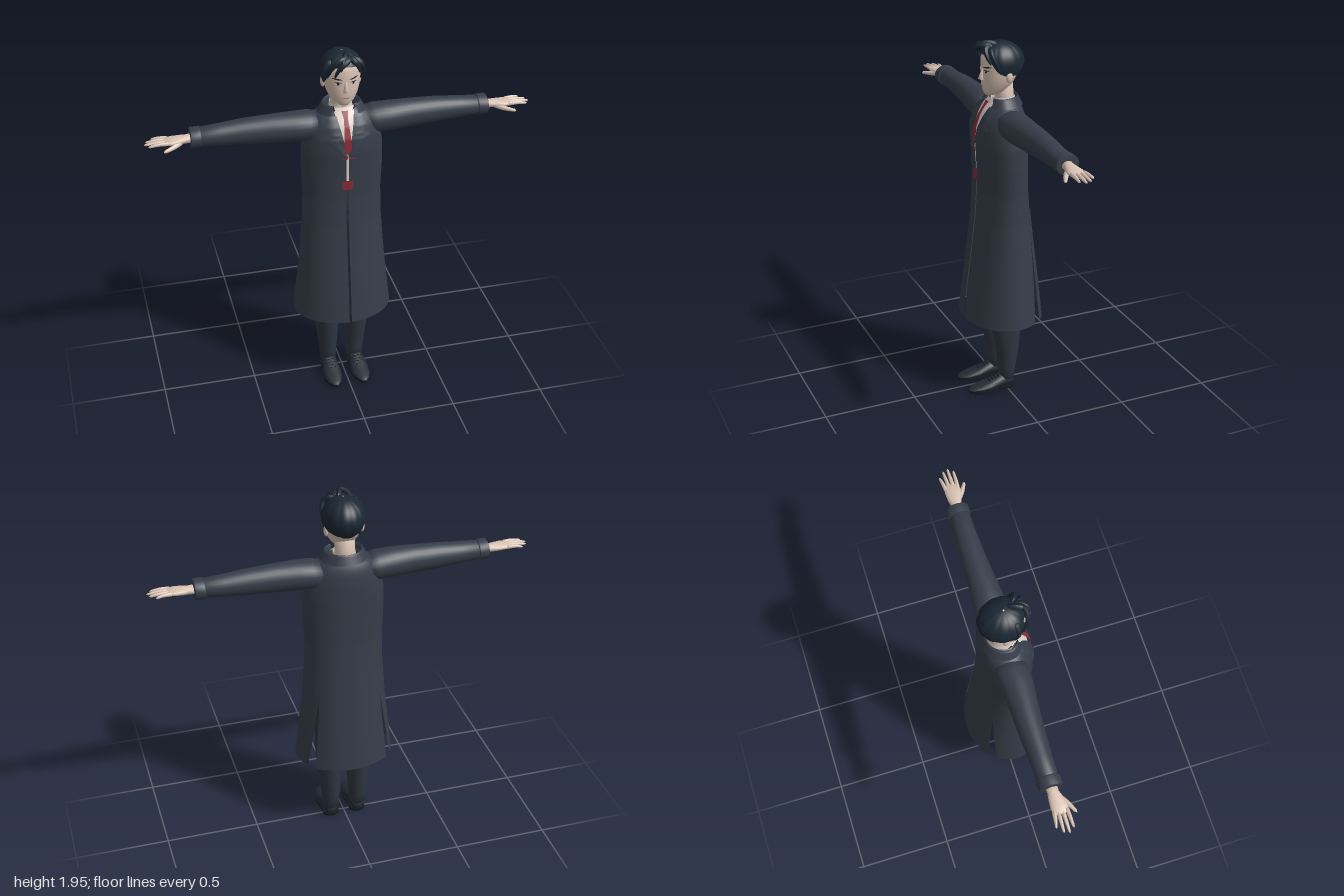
import * as THREE from 'three';

const mat = (name, color, side = THREE.FrontSide) => Object.assign(new THREE.MeshStandardMaterial({ color, side }), { name });
const M = {
  coat: mat('coat navy', 0x363d49, THREE.DoubleSide),
  trousers: mat('trouser navy', 0x2f3641),
  hair: mat('hair blue black', 0x1b2733, THREE.DoubleSide),
  skin: mat('skin', 0xd9c2b3),
  shirt: mat('shirt cream', 0xe0d3c8, THREE.DoubleSide),
  tie: mat('tie red', 0x8a2b39, THREE.DoubleSide),
  shoe: mat('shoe leather', 0x242a34),
  sole: mat('sole black', 0x15181d),
  lip: mat('lip', 0xb08c80, THREE.DoubleSide),
};
const lerp = THREE.MathUtils.lerp, rad = THREE.MathUtils.degToRad;

function add(parent, name, geometry, material) {
  const mesh = new THREE.Mesh(geometry, material);
  mesh.name = name;
  parent.add(mesh);
  return mesh;
}

// Interpolated row of a table sorted by its first column
function row(table, t) {
  let i = 0;
  while (i < table.length - 2 && t > table[i + 1][0]) i++;
  const a = table[i], b = table[i + 1];
  const k = THREE.MathUtils.clamp((t - a[0]) / (b[0] - a[0]), 0, 1);
  return a.map((v, j) => lerp(v, b[j], k));
}

// Grid surface from fn(u, v) -> [x, y, z]
function surf(nu, nv, fn, closed = false) {
  const pos = [], idx = [], w = closed ? nu : nu + 1;
  for (let j = 0; j <= nv; j++) for (let i = 0; i < w; i++) pos.push(...fn(i / nu, j / nv));
  for (let j = 0; j < nv; j++) for (let i = 0; i < nu; i++) {
    const a = j * w + i, b = j * w + (i + 1) % w;
    idx.push(a, b, b + w, a, b + w, a + w);
  }
  const g = new THREE.BufferGeometry();
  g.setAttribute('position', new THREE.Float32BufferAttribute(pos, 3));
  g.setIndex(idx);
  g.computeVertexNormals();
  return g;
}

// Elliptic sections along an axis: rows of [position, centre1, radius1, centre2, radius2]
function loft(axis, rows, n = 28) {
  const full = [[...rows[0]], ...rows, [...rows.at(-1)]];
  for (const r of [full[0], full.at(-1)]) r[2] = r[4] = 0.0005;
  return surf(n, full.length - 1, (u, v) => {
    const [p, c1, r1, c2, r2] = full[Math.round(v * (full.length - 1))];
    const a = u * Math.PI * 2, q = c1 + r1 * Math.cos(a), s = c2 + r2 * Math.sin(a);
    return axis === 'x' ? [p, q, s] : axis === 'y' ? [s, p, q] : [q, s, p];
  }, true);
}

// Tube along points, narrowing to its end
function taper(points, r, end = 0.3, start = 1) {
  const curve = new THREE.CatmullRomCurve3(points.map(p => new THREE.Vector3(...p)));
  const n = 12, g = new THREE.TubeGeometry(curve, n, r, 8), p = g.attributes.position, v = new THREE.Vector3();
  for (let i = 0; i < p.count; i++) {
    const t = Math.floor(i / 9) / n, c = curve.getPointAt(t);
    const k = t === 1 ? 0.02 : t === 0 ? start * 0.4 : lerp(start, end, t * t);
    v.fromBufferAttribute(p, i).sub(c).multiplyScalar(k).add(c);
    p.setXYZ(i, v.x, v.y, v.z);
  }
  g.computeVertexNormals();
  return g;
}

// Coat outline: height, half width, front depth, back depth
const COAT = [[0.43, 0.265, 0.208, 0.218], [0.6, 0.246, 0.188, 0.2], [0.8, 0.225, 0.162, 0.175], [1.0, 0.21, 0.138, 0.15],
  [1.15, 0.206, 0.128, 0.137], [1.3, 0.213, 0.13, 0.132], [1.42, 0.212, 0.135, 0.132], [1.5, 0.197, 0.128, 0.13],
  [1.56, 0.178, 0.105, 0.122], [1.6, 0.145, 0.08, 0.108], [1.635, 0.075, 0.055, 0.085]];
const coatPoint = (a, y, off = 0) => {
  const [, hx, zf, zb] = row(COAT, y), s = Math.sin(a);
  return [(hx + off) * Math.cos(a), y, ((s > 0 ? zf : zb) + off) * s];
};
const onChest = (x, y, off) => {
  const [, hx, zf] = row(COAT, y);
  return [x, y, zf * Math.sqrt(Math.max(0, 1 - (x / hx) ** 2)) + off];
};
const opening = y => 0.006 + Math.max(0, y - 1.41) * 0.21;
const flapEdge = rad(43);

function buildCoat(g) {
  for (const s of [1, -1]) {
    const side = s > 0 ? 'left' : 'right';
    const flip = ([x, y, z]) => [s * x, y, z];
    // Front and side panel, opening into a slit towards the hem
    add(g, side + 'CoatPanel', surf(32, 60, (u, v) => {
      const y = lerp(0.43, 1.635, v), front = Math.acos(opening(y) / row(COAT, y)[1]);
      const back = lerp(rad(30), flapEdge, Math.min(1, (y - 0.43) / 0.49));
      return flip(coatPoint(lerp(front, -back, u), y));
    }), M.coat);
    // Vent facing along the flap edge
    add(g, side + 'VentFacing', surf(6, 20, (u, v) =>
      flip(coatPoint(-lerp(flapEdge, rad(55), u), lerp(0.43, 1.06, v), 0.005))), M.coat);
    // Lapel
    const outer = [[1.405, 0.01], [1.51, 0.125], [1.525, 0.09], [1.535, 0.11], [1.61, 0.1]];
    add(g, side + 'Lapel', surf(8, 40, (u, v) => {
      const y = lerp(1.405, 1.61, v);
      return flip(onChest(lerp(opening(y) - 0.004, row(outer, y)[1], u), y, 0.004 + 0.009 * Math.sin(u * 2)));
    }), M.coat);
  }
  add(g, 'backFlap', surf(28, 60, (u, v) =>
    coatPoint(-lerp(flapEdge, Math.PI - flapEdge, u), lerp(0.43, 1.635, v))), M.coat);
  // Turned down collar: inner edge, fold, outer edge
  const collar = [[0, 0.07, 0.055, 0.075, 1.6], [0.4, 0.09, 0.065, 0.09, 1.655], [0.5, 0.098, 0.068, 0.095, 1.655], [1, 0.125, 0.085, 0.118, 1.608]];
  add(g, 'collar', surf(40, 10, (u, v) => {
    const [, hx, zf, zb, y] = row(collar, v), a = lerp(rad(55), rad(-235), u), s = Math.sin(a);
    return [hx * Math.cos(a), y, (s > 0 ? zf : zb) * s];
  }), M.coat);
}

function buildArm(g) {
  add(g, 'sleeve', loft('x', [[0.11, 1.54, 0.06, -0.01, 0.075], [0.17, 1.538, 0.076, -0.008, 0.086], [0.25, 1.539, 0.077, -0.005, 0.08],
    [0.36, 1.541, 0.074, -0.007, 0.07], [0.5, 1.542, 0.067, -0.01, 0.063], [0.62, 1.541, 0.057, -0.009, 0.056], [0.74, 1.541, 0.047, -0.008, 0.052]]), M.coat);
  add(g, 'cuff', loft('x', [[0.715, 1.541, 0.05, -0.008, 0.056], [0.72, 1.541, 0.053, -0.008, 0.06],
    [0.765, 1.541, 0.053, -0.008, 0.06], [0.769, 1.541, 0.047, -0.008, 0.054]]), M.coat);
  add(g, 'palm', loft('x', [[0.755, 1.54, 0.024, -0.006, 0.03], [0.79, 1.54, 0.021, -0.005, 0.028], [0.82, 1.54, 0.02, -0.002, 0.036],
    [0.86, 1.541, 0.017, 0.001, 0.042], [0.9, 1.541, 0.011, 0, 0.039]], 16), M.skin);
  for (const [z, tip, zt] of [[-0.03, 0.96, -0.044], [-0.011, 0.99, -0.016], [0.01, 0.999, 0.01], [0.031, 0.98, 0.036]])
    add(g, 'finger', taper([[0.875, 1.542, z], [0.925, 1.544, lerp(z, zt, 0.5)], [tip, 1.538, zt]], 0.0105, 0.5), M.skin);
  add(g, 'thumb', taper([[0.81, 1.535, 0.012], [0.855, 1.527, 0.045], [0.91, 1.52, 0.075]], 0.014, 0.5), M.skin);
}

function buildLeg(g) {
  add(g, 'trouserLeg', loft('y', [[0.055, -0.01, 0.04, 0.076, 0.045], [0.12, -0.012, 0.047, 0.076, 0.048], [0.22, -0.013, 0.062, 0.079, 0.058],
    [0.42, -0.002, 0.086, 0.083, 0.073], [0.7, 0, 0.09, 0.083, 0.076], [0.95, 0, 0.09, 0.085, 0.08]]), M.trousers);
  add(g, 'shoe', loft('z', [[-0.045, 0.076, 0.022, 0.035, 0.023], [-0.03, 0.076, 0.036, 0.042, 0.036], [0.01, 0.076, 0.04, 0.043, 0.039],
    [0.05, 0.077, 0.043, 0.037, 0.033], [0.1, 0.078, 0.049, 0.028, 0.025], [0.15, 0.079, 0.045, 0.022, 0.017],
    [0.19, 0.08, 0.032, 0.018, 0.012], [0.212, 0.08, 0.012, 0.015, 0.006]], 20), M.shoe);
  // Sole outline lies flat, heel to toe
  const outline = [[0.076, 0.046], [0.117, 0.025], [0.118, -0.03], [0.129, -0.1], [0.122, -0.16], [0.08, -0.215], [0.038, -0.16], [0.028, -0.1], [0.035, -0.03], [0.036, 0.025]];
  const shape = new THREE.Shape().setFromPoints(new THREE.CatmullRomCurve3(
    outline.map(([x, z]) => new THREE.Vector3(x, z, 0)), true).getPoints(40).map(p => new THREE.Vector2(p.x, p.y)));
  add(g, 'sole', new THREE.ExtrudeGeometry(shape, { depth: 0.012, bevelEnabled: false }).rotateX(-Math.PI / 2), M.sole);
  for (let i = 0; i < 4; i++) {
    const lace = add(g, 'lace', new THREE.BoxGeometry(0.04, 0.005, 0.007), M.sole);
    lace.position.set(0.077, 0.073 - i * 0.006, 0.045 + i * 0.017);
    lace.rotation.x = 0.4;
  }
}

// Head sections: height, half width, front depth, back depth
const HEAD = [[1.665, 0.028, 0.078, 0], [1.685, 0.055, 0.087, 0.03], [1.72, 0.077, 0.093, 0.068], [1.76, 0.09, 0.094, 0.09],
  [1.8, 0.095, 0.092, 0.105], [1.85, 0.097, 0.092, 0.108], [1.89, 0.083, 0.078, 0.09], [1.92, 0.05, 0.045, 0.05]];

function buildHead(g) {
  add(g, 'head', loft('y', HEAD.map(([y, x, f, b]) => [y, (f - b) / 2, (f + b) / 2, 0, x]), 36), M.skin);
  add(g, 'neck', loft('y', [[1.57, -0.03, 0.052, 0, 0.056], [1.64, -0.028, 0.049, 0, 0.051], [1.73, -0.02, 0.05, 0, 0.052]]), M.skin);
  add(g, 'nose', loft('y', [[1.742, 0.088, 0.012, 0, 0.014], [1.75, 0.094, 0.02, 0, 0.015], [1.775, 0.092, 0.013, 0, 0.009], [1.805, 0.086, 0.008, 0, 0.006]], 12), M.skin);
  // Thin face details laid over the head
  const feature = (name, material, cx, cy, w, h, tilt = 0, off = 0.003) => add(g, name, surf(10, 2, (u, v) => {
    const x = cx + (u - 0.5) * w, y = cy + (v - 0.5) * h * Math.sin(Math.PI * (0.1 + u * 0.8)) + (u - 0.5) * tilt;
    const [, hx, zf, zb] = row(HEAD, y);
    return [x, y, (zf - zb) / 2 + (zf + zb) / 2 * Math.sqrt(Math.max(0, 1 - (x / hx) ** 2)) + off];
  }), material);
  for (const s of [1, -1]) {
    feature('eyeWhite', M.shirt, s * 0.04, 1.792, 0.03, 0.012);
    feature('iris', M.hair, s * 0.039, 1.792, 0.012, 0.013, 0, 0.005);
    feature('upperLash', M.hair, s * 0.04, 1.799, 0.036, 0.005, 0, 0.005);
    feature('eyebrow', M.hair, s * 0.042, 1.817, 0.046, 0.008, s * 0.006, 0.005);
    add(g, 'ear', new THREE.SphereGeometry(1, 14, 10).scale(0.012, 0.03, 0.018), M.skin).position.set(s * 0.093, 1.768, -0.015);
  }
  feature('mouth', M.lip, 0, 1.713, 0.04, 0.007);

  // Hair cap with a hairline that drops towards the nape
  const hairline = [[0, 1.88], [35, 1.875], [62, 1.8], [85, 1.775], [110, 1.772], [180, 1.745]];
  add(g, 'hairCap', surf(84, 16, (u, v) => {
    const a = u * Math.PI * 2, deg = 180 - Math.abs(180 - u * 360);
    const low = row(hairline, deg)[1], y = lerp(low, 1.935, Math.sin(v * Math.PI / 2));
    const k = y > 1.83 ? Math.sqrt(Math.max(0, 1 - ((y - 1.83) / 0.1051) ** 2)) : 1 - 45 * (1.83 - y) ** 2;
    const r = k * (1 + 0.03 * Math.abs(Math.sin(a * 6)));
    return [0.107 * r * Math.sin(a), y, (deg < 90 ? 0.106 : 0.127) * r * Math.cos(a)];
  }, true), M.hair);
  const locks = [
    [[0.03, 1.915, 0.05], [-0.02, 1.925, 0.1], [-0.068, 1.885, 0.095], [-0.088, 1.815, 0.06]],
    [[0.03, 1.92, 0.06], [0.0, 1.915, 0.11], [-0.04, 1.88, 0.115], [-0.06, 1.83, 0.1]],
    [[0.03, 1.91, 0.05], [0.075, 1.895, 0.075], [0.092, 1.85, 0.06], [0.094, 1.785, 0.03]],
    [[0.02, 1.915, 0.055], [0.04, 1.91, 0.09], [0.065, 1.875, 0.09], [0.075, 1.835, 0.075]],
    [[-0.06, 1.9, 0.04], [-0.095, 1.86, 0.045], [-0.1, 1.82, 0.035], [-0.094, 1.775, 0.02]],
    [[0.02, 1.92, 0.02], [0.0, 1.932, 0.07], [-0.02, 1.91, 0.115], [-0.03, 1.865, 0.113]],
  ];
  for (const p of locks) add(g, 'hairLock', taper(p, 0.02, 0.2, 0.8), M.hair);
}

function buildShirtAndTie(g) {
  // Shirt front seen in the coat opening
  add(g, 'shirtFront', surf(12, 24, (u, v) => {
    const y = lerp(1.25, 1.64, v);
    return onChest((u - 0.5) * lerp(0.03, 0.135, v), y, -0.008);
  }), M.shirt);
  add(g, 'shirtCollar', surf(32, 2, (u, v) => {
    const a = lerp(rad(80), rad(-260), u), r = lerp(0.063, 0.057, v);
    return [r * Math.cos(a), lerp(1.595, 1.65, v), -0.02 + r * 1.08 * Math.sin(a)];
  }), M.shirt);
  const width = [[1.42, 0.002], [1.45, 0.021], [1.59, 0.011], [1.597, 0.01], [1.63, 0.017]];
  add(g, 'tieBlade', surf(4, 30, (u, v) => {
    const y = lerp(1.42, 1.63, v);
    return onChest((u - 0.5) * 2 * row(width, y)[1], y, 0.008);
  }), M.tie);
  for (const s of [1, -1])
    add(g, 'tieFold', surf(4, 2, (u, v) => onChest(s * lerp(0.004, 0.045, u), 1.408 - u * 0.012 + (v - 0.5) * 0.016 * (1 - u), 0.016)), M.tie);
  add(g, 'tieEnd', surf(6, 6, (u, v) => onChest((u - 0.5) * 0.054, lerp(1.213, 1.265, v), 0.006)), M.tie);
}

export function createModel() {
  const model = new THREE.Group();
  model.name = 'manInLongCoat';
  const part = (name, build, mirror = 1) => {
    const g = new THREE.Group();
    g.name = name;
    g.scale.x = mirror;
    build(g);
    model.add(g);
  };
  part('coat', buildCoat);
  part('shirtAndTie', buildShirtAndTie);
  part('headAndHair', buildHead);
  for (const s of [1, -1]) {
    part(s > 0 ? 'leftArm' : 'rightArm', buildArm, s);
    part(s > 0 ? 'leftLeg' : 'rightLeg', buildLeg, s);
  }
  return model;
}
